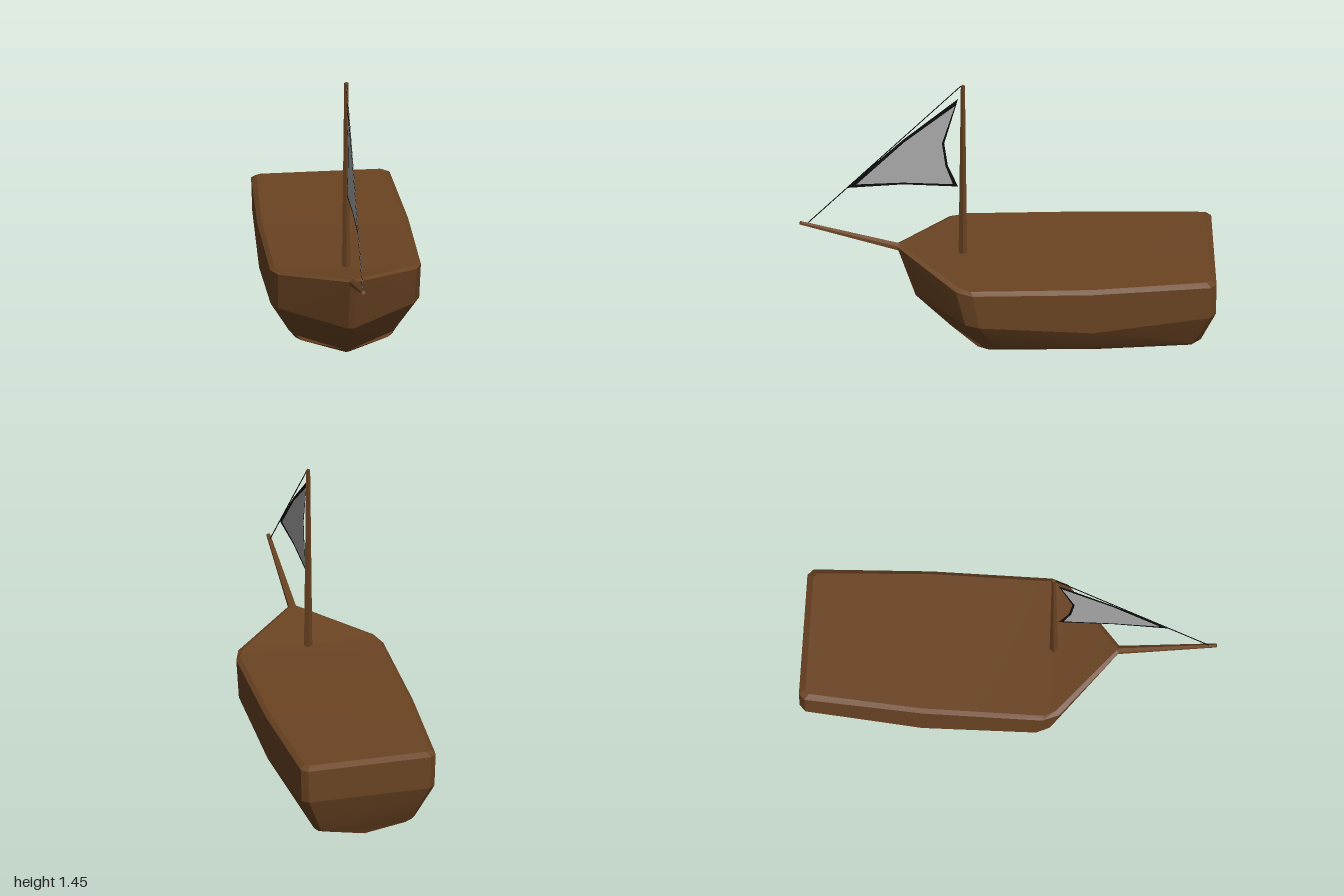
import * as THREE from 'three';
import { toCreasedNormals } from 'three/addons/utils/BufferGeometryUtils.js';

const paint = (name, color, side = THREE.FrontSide) => {
  const m = new THREE.MeshStandardMaterial({ color, side });
  m.name = name;
  return m;
};

// Starboard-to-port half sections from stern to bow.
// Rows: deck inner edge, deck outer edge, chine, upper bilge, lower bilge, keel
const STATIONS = [
  [[.29, .487, -.968], [.305, .47, -.998], [.3, .3, -.995], [.225, .105, -.925], [.2, .085, -.912], [0, .04, -.895]],
  [[.31, .487, -.95], [.335, .47, -.97], [.33, .295, -.965], [.25, .1, -.89], [.225, .075, -.88], [0, .03, -.87]],
  [[.345, .482, -.4], [.365, .465, -.4], [.357, .24, -.4], [.272, .1, -.4], [.24, .072, -.4], [0, .003, -.4]],
  [[.345, .488, .19], [.365, .472, .18], [.36, .285, .15], [.265, .11, .07], [.235, .082, .1], [0, .033, .16]],
  [[.315, .492, .245], [.335, .48, .26], [.33, .285, .215], [.235, .105, .13], [.21, .085, .15], [0, .035, .2]],
  [[.008, .548, .515], [.015, .54, .53], [.015, .26, .44], [.015, .075, .265], [.013, .058, .245], [0, .05, .235]],
];

function hullGeometry() {
  const rings = STATIONS.map(s => [...s, ...s.slice(0, -1).reverse().map(([x, y, z]) => [-x, y, z])]);
  const n = rings[0].length, pos = [];
  const tri = (a, b, c) => pos.push(...a, ...b, ...c);
  for (let j = 0; j < rings.length - 1; j++) {
    for (let i = 0; i < n; i++) {
      const k = (i + 1) % n, p = rings[j], q = rings[j + 1];
      // mirror the diagonal on the port side
      if (i < n / 2 - 1) { tri(p[i], q[i], p[k]); tri(p[k], q[i], q[k]); }
      else { tri(p[i], q[i], q[k]); tri(p[i], q[k], p[k]); }
    }
  }
  // transom and stem caps
  const a = rings[0], b = rings[rings.length - 1];
  for (let i = 0; i < (n - 1) / 2; i++) {
    const l = n - 1 - i;
    tri(a[i], a[i + 1], a[l]); tri(a[i + 1], a[l - 1], a[l]);
    tri(b[i], b[l], b[i + 1]); tri(b[i + 1], b[l], b[l - 1]);
  }
  const g = new THREE.BufferGeometry();
  g.setAttribute('position', new THREE.Float32BufferAttribute(pos, 3));
  return toCreasedNormals(g, 0.3);
}

// Tapered pole between two points given as [y, z] on the centre line
function pole(name, from, to, r0, r1, sides, material) {
  const a = new THREE.Vector3(0, ...from), b = new THREE.Vector3(0, ...to);
  const dir = b.clone().sub(a);
  const g = toCreasedNormals(new THREE.CylinderGeometry(r1, r0, dir.length(), sides), 0.3);
  const mesh = new THREE.Mesh(g, material);
  mesh.name = name;
  mesh.position.copy(a).add(b).multiplyScalar(0.5);
  mesh.quaternion.setFromUnitVectors(new THREE.Vector3(0, 1, 0), dir.normalize());
  return mesh;
}

// Flat shape drawn in [z, y], turned onto the centre plane
function sheet(name, outline, hole, material) {
  const pts = l => l.map(([z, y]) => new THREE.Vector2(-z, y));
  const shape = new THREE.Shape(pts(outline));
  if (hole) shape.holes.push(new THREE.Path(pts(hole)));
  const mesh = new THREE.Mesh(new THREE.ShapeGeometry(shape), material);
  mesh.name = name;
  mesh.rotation.y = Math.PI / 2;
  return mesh;
}

export function createModel() {
  const wood = paint('brown wood', 0x6b4423);
  const canvas = paint('grey canvas', 0xaaaaaa, THREE.DoubleSide);
  const black = paint('black trim', 0x0c0c0c, THREE.DoubleSide);
  const boat = new THREE.Group();
  boat.name = 'sailboat';

  const hull = new THREE.Mesh(hullGeometry(), wood);
  hull.name = 'hull';
  boat.add(hull);

  boat.add(pole('mast', [.46, .212], [1.45, .212], .021, .01, 4, wood));
  boat.add(pole('bowsprit', [.505, .44], [.683, .997], .022, .01, 6, wood));
  boat.add(pole('forestay', [1.448, .222], [.675, .965], .0025, .0025, 5, black));

  // Jib with a dark hem that widens at the corners
  const edge = [[.235, 1.375], [.5, 1.147], [.775, .877], [.5, .903], [.235, .87], [.284, .99], [.302, 1.12]];
  const cloth = [[.25, 1.335], [.495, 1.132], [.728, .893], [.5, .891], [.26, .884], [.296, .99], [.313, 1.12]];
  // foot of the cloth sits inside the hem
  cloth[3] = [.5, .893];
  edge[3] = [.5, .884];
  cloth[2] = [.725, .896];
  cloth[3][1] = .9;
  edge[3][1] = .89;
  boat.add(sheet('sail', cloth, null, canvas));
  boat.add(sheet('sailHem', edge, cloth, black));
  return boat;
}
